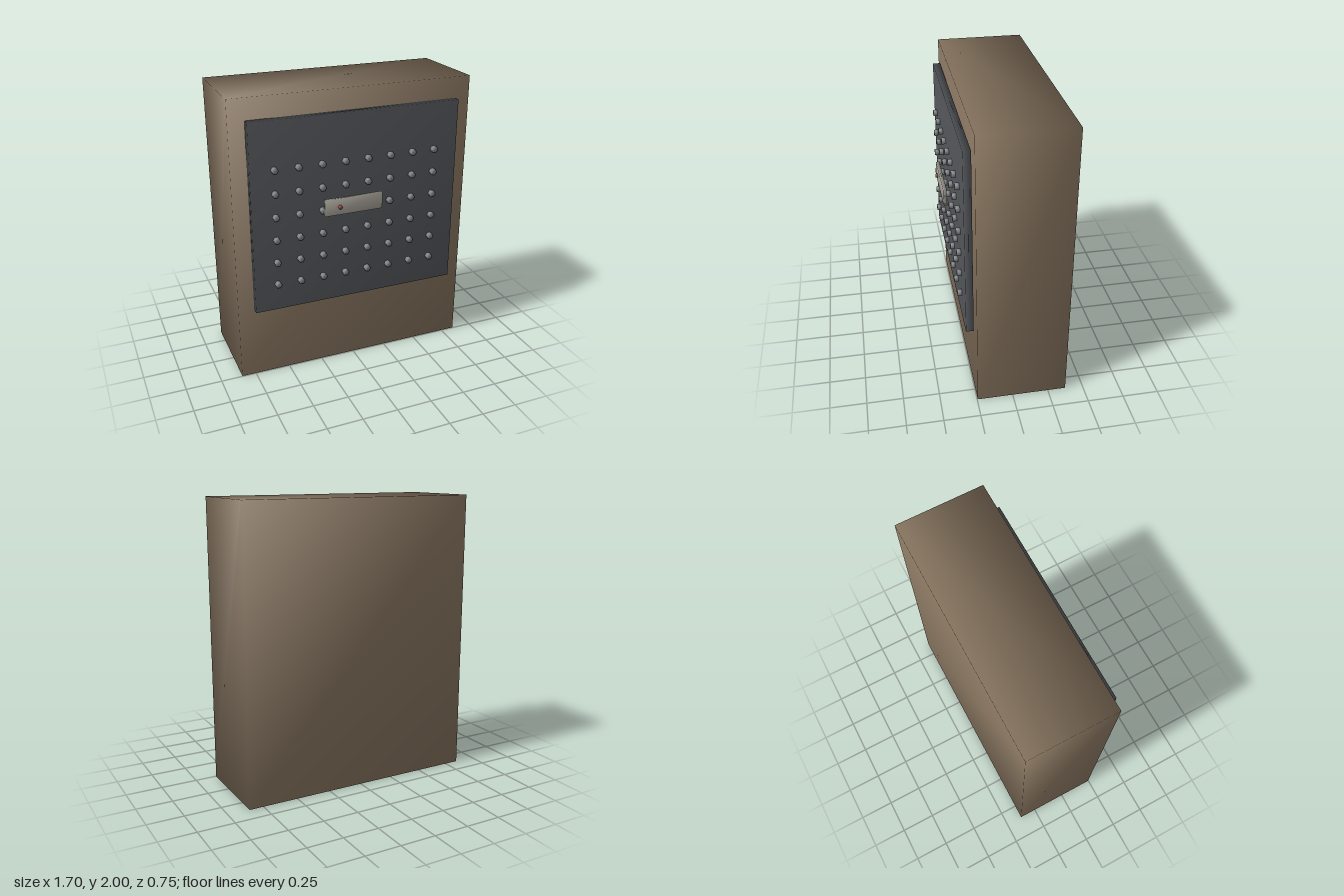
import * as THREE from 'three';
import { mergeVertices } from 'three/addons/utils/BufferGeometryUtils.js';

const material = (color) => new THREE.MeshStandardMaterial({ color });

// Weld the corners so the normals run smoothly over the edges
function soften(geometry) {
  geometry.deleteAttribute('normal');
  geometry.deleteAttribute('uv');
  const welded = mergeVertices(geometry, 1e-4);
  welded.computeVertexNormals();
  return welded;
}

// Block given by its limits on each axis
function block(name, [x0, x1], [y0, y1], [z0, z1], mat) {
  const mesh = new THREE.Mesh(soften(new THREE.BoxGeometry(x1 - x0, y1 - y0, z1 - z0)), mat);
  mesh.position.set((x0 + x1) / 2, (y0 + y1) / 2, (z0 + z1) / 2);
  mesh.name = name;
  return mesh;
}

// Six-sided stud pointing forward, with corners to the left and right
function studGeometry(radius, depth) {
  const g = new THREE.CylinderGeometry(radius, radius, depth, 6);
  g.rotateY(Math.PI / 6);
  g.rotateX(Math.PI / 2);
  return soften(g);
}

export function createModel() {
  const model = new THREE.Group();
  model.name = 'wallPanel';

  // Wall slab and the dark plate mounted on it
  model.add(block('wall', [-0.85, 0.85], [0, 2], [-0.375, 0.246], material(0x8b7862)));
  model.add(block('panel', [-0.74, 0.74], [0.52, 1.855], [0.25, 0.302], material(0x55585c)));

  // Grid of studs
  const studs = new THREE.Group();
  studs.name = 'studs';
  const studShape = studGeometry(0.023, 0.03);
  const studMaterial = material(0x85878a);
  for (let row = 0; row < 6; row++) {
    for (let col = 0; col < 8; col++) {
      const stud = new THREE.Mesh(studShape, studMaterial);
      stud.name = 'stud';
      stud.position.set(-0.58 + col * 0.163, 0.715 + row * 0.163, 0.315);
      studs.add(stud);
    }
  }
  model.add(studs);

  // Handle plate and its red indicator
  model.add(block('handlePlate', [-0.253, 0.159], [1.175, 1.29], [0.334, 0.359], material(0xaaa59c)));
  const indicator = new THREE.Mesh(studGeometry(0.014, 0.016), material(0x9a4a4a));
  indicator.name = 'indicator';
  indicator.position.set(-0.15, 1.232, 0.367);
  model.add(indicator);

  return model;
}
